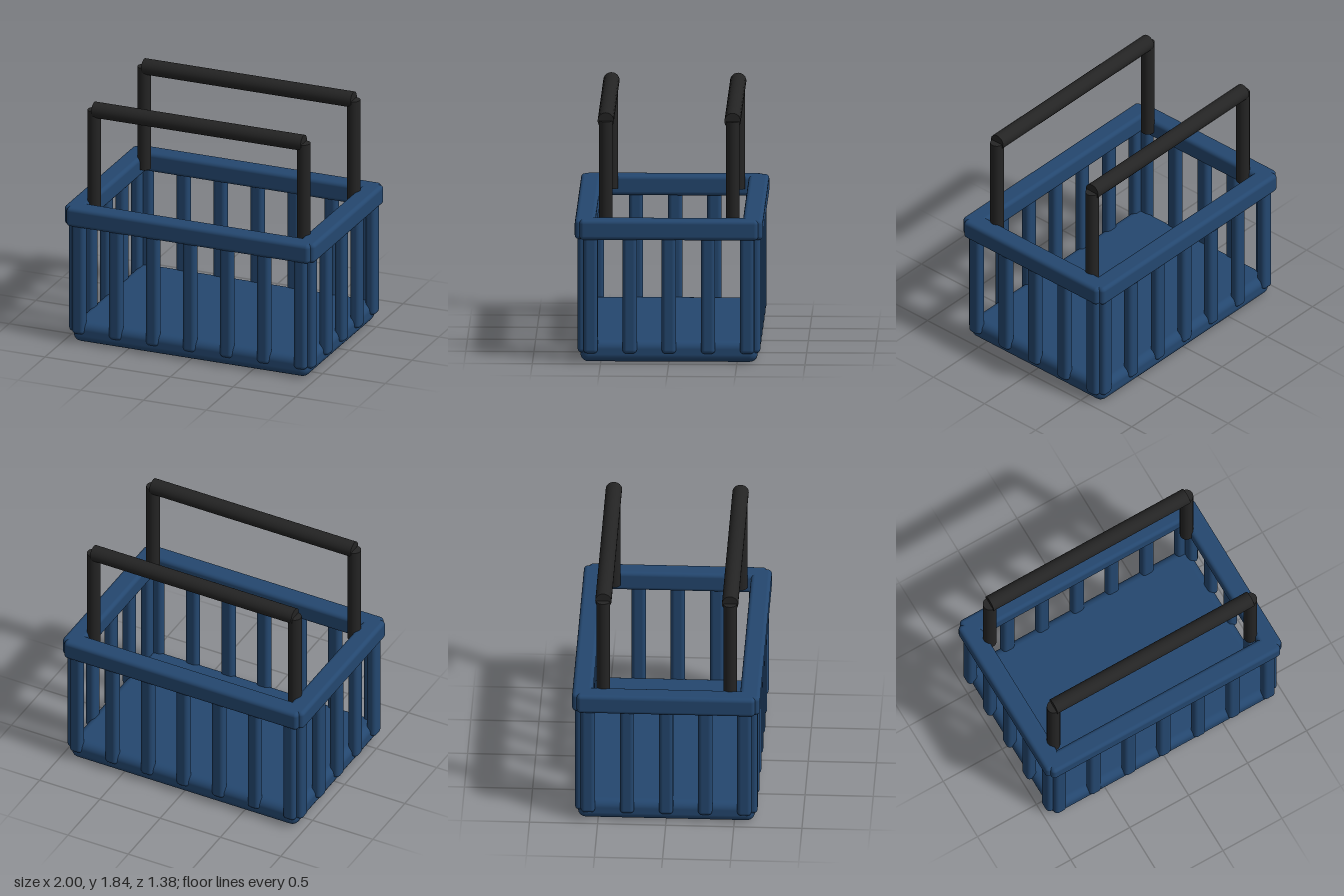
import * as THREE from 'three';
import { RoundedBoxGeometry } from 'three/addons/geometries/RoundedBoxGeometry.js';

export function createModel() {
  const basket = new THREE.Group();
  basket.name = 'basket';

  const blue = new THREE.MeshStandardMaterial({ color: 0x24476f });
  blue.name = 'blue plastic';
  const black = new THREE.MeshStandardMaterial({ color: 0x242424 });
  black.name = 'black handle';

  function add(name, geometry, material, x, y, z) {
    const mesh = new THREE.Mesh(geometry, material);
    mesh.name = name;
    mesh.position.set(x, y, z);
    basket.add(mesh);
    return mesh;
  }
  const roundedBox = (w, h, d, r) => new RoundedBoxGeometry(w, h, d, 3, r);

  // Solid floor with soft edges
  add('floor', roundedBox(1.88, 0.16, 1.3, 0.06), blue, 0, 0.08, 0);

  // Upright slats, from just above the floor's underside into the rim
  const bottom = 0.07, top = 1.0, thick = 0.08;
  const height = top - bottom, midY = (top + bottom) / 2;
  const longSlat = roundedBox(0.1, height, thick, 0.03);
  const shortSlat = roundedBox(thick, height, 0.105, 0.03);
  for (const side of [1, -1]) {
    for (let i = -3; i <= 3; i++) {
      add(side > 0 ? 'frontSlat' : 'backSlat', longSlat, blue, i * 0.295, midY, side * 0.63);
    }
    for (let i = -2; i <= 2; i++) {
      add(side > 0 ? 'leftSlat' : 'rightSlat', shortSlat, blue, side * 0.937, midY, i * 0.287);
    }
  }

  // Rim of four overlapping rounded bars
  const longRim = roundedBox(1.94, 0.15, 0.15, 0.03);
  const shortRim = roundedBox(0.15, 0.15, 1.31, 0.03);
  for (const side of [1, -1]) {
    add(side > 0 ? 'frontRim' : 'backRim', longRim, blue, 0, 0.995, side * 0.615);
    add(side > 0 ? 'leftRim' : 'rightRim', shortRim, blue, side * 0.925, 0.995, 0);
  }

  // Two raised handles: a pair of posts and a thicker grip each
  const postBottom = 0.98, gripY = 1.783, handleX = 0.835, handleZ = 0.465;
  const post = new THREE.CylinderGeometry(0.05, 0.05, gripY - postBottom, 24);
  const grip = new THREE.CylinderGeometry(0.06, 0.06, handleX * 2, 24);
  grip.rotateZ(Math.PI / 2);
  for (const side of [1, -1]) {
    const label = side > 0 ? 'front' : 'back';
    for (const x of [-handleX, handleX]) {
      add(label + 'HandlePost', post, black, x, (postBottom + gripY) / 2, side * handleZ);
    }
    add(label + 'HandleGrip', grip, black, 0, gripY, side * handleZ);
  }

  return basket;
}
